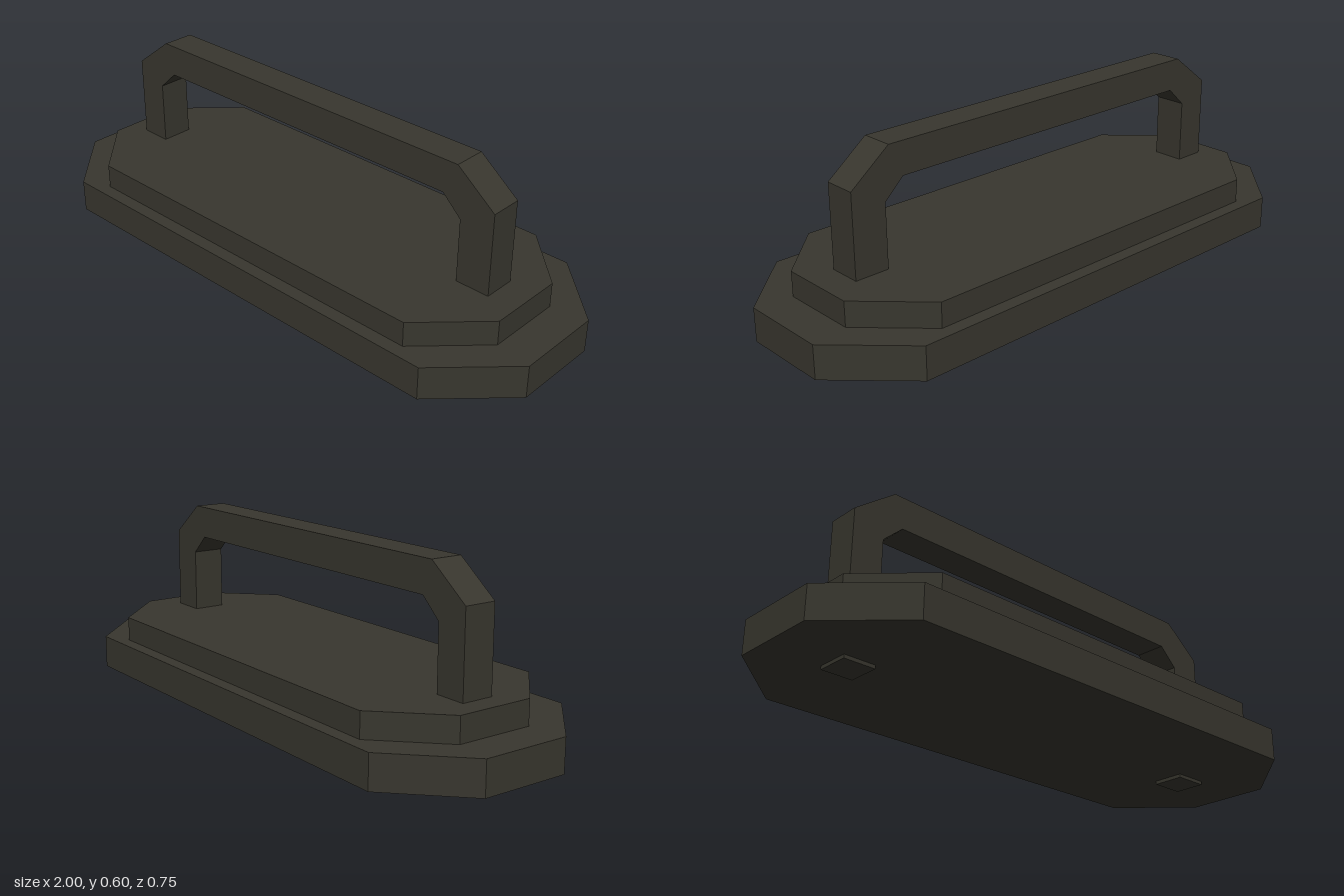
import * as THREE from 'three';

const toShape = (points) => new THREE.Shape(points.map(([x, y]) => new THREE.Vector2(x, y)));

// Octagonal slab: a rectangle with chamfered corners, standing between two heights
function plate(name, halfX, halfZ, cornerX, cornerZ, bottom, top, material) {
  const outline = toShape([
    [halfX, -cornerZ], [halfX, cornerZ], [cornerX, halfZ], [-cornerX, halfZ],
    [-halfX, cornerZ], [-halfX, -cornerZ], [-cornerX, -halfZ], [cornerX, -halfZ],
  ]);
  const geometry = new THREE.ExtrudeGeometry(outline, { depth: top - bottom, bevelEnabled: false });
  geometry.rotateX(-Math.PI / 2).translate(0, bottom, 0);
  const mesh = new THREE.Mesh(geometry, material);
  mesh.name = name;
  return mesh;
}

export function createModel() {
  const group = new THREE.Group();
  group.name = 'pullHandle';
  const darkMetal = new THREE.MeshStandardMaterial({ color: 0x38362e });
  darkMetal.name = 'dark metal';

  // Stepped backing plates
  group.add(plate('lowerPlate', 1, 0.376, 0.777, 0.153, 0.012, 0.125, darkMetal));
  group.add(plate('upperPlate', 0.875, 0.33, 0.68, 0.134, 0.125, 0.209, darkMetal));

  // Grip bar with chamfered corners; its legs pass through the plates
  const grip = toShape([
    [-0.8, 0], [-0.69, 0], [-0.69, 0.425], [-0.62, 0.49], [0.588, 0.49], [0.656, 0.425],
    [0.656, 0], [0.776, 0], [0.776, 0.49], [0.636, 0.6], [-0.655, 0.6], [-0.8, 0.49],
  ]);
  const gripGeometry = new THREE.ExtrudeGeometry(grip, { depth: 0.112, bevelEnabled: false });
  gripGeometry.translate(0, 0, -0.056);
  const handle = new THREE.Mesh(gripGeometry, darkMetal);
  handle.name = 'handle';
  group.add(handle);

  return group;
}
